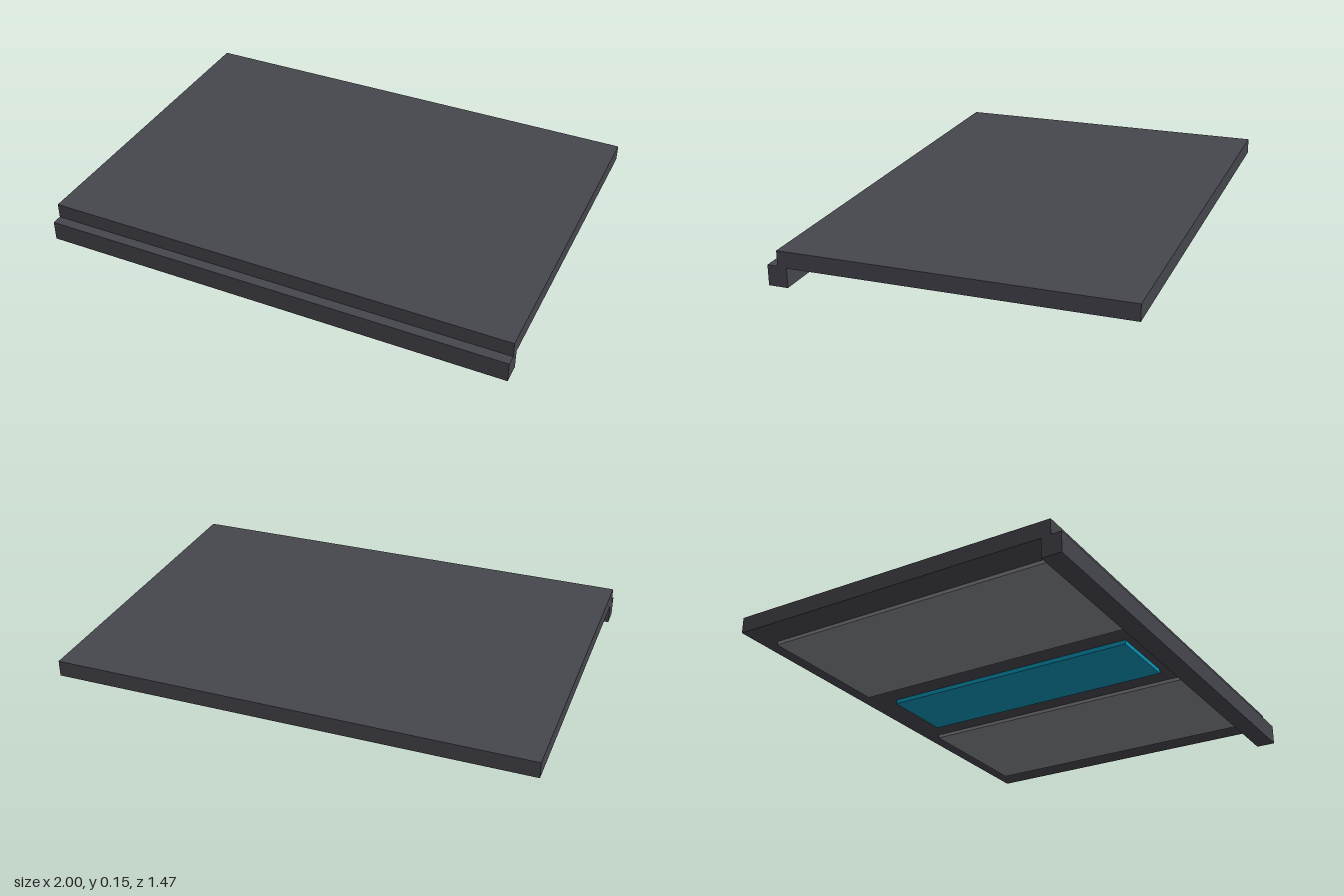
import * as THREE from 'three';

const mat = (name, color) => {
  const m = new THREE.MeshStandardMaterial({ color });
  m.name = name;
  return m;
};

export function createModel() {
  const charcoal = mat('charcoal', 0x45454d);
  const grey = mat('grey', 0x838486);
  const cyan = mat('cyan', 0x0891b2);

  const model = new THREE.Group();
  model.name = 'panel';

  // Box given by its [min, max] range on each axis
  const box = (name, material, [x0, x1], [y0, y1], [z0, z1]) => {
    const mesh = new THREE.Mesh(new THREE.BoxGeometry(x1 - x0, y1 - y0, z1 - z0), material);
    mesh.position.set((x0 + x1) / 2, (y0 + y1) / 2, (z0 + z1) / 2);
    mesh.name = name;
    model.add(mesh);
  };

  // Main slab and the lip hanging below its front edge
  box('slab', charcoal, [-1, 1], [0.081, 0.149], [-0.733, 0.69]);
  box('frontLip', charcoal, [-1, 1], [0, 0.085], [0.651, 0.733]);

  // Underside: two grey side panels and a cyan strip between them
  box('leftPanel', grey, [0.27, 0.87], [0.066, 0.081], [-0.662, 0.62]);
  box('rightPanel', grey, [-0.87, -0.27], [0.066, 0.081], [-0.662, 0.62]);
  box('centreStrip', cyan, [-0.16, 0.16], [0.062, 0.081], [-0.592, 0.55]);

  return model;
}
